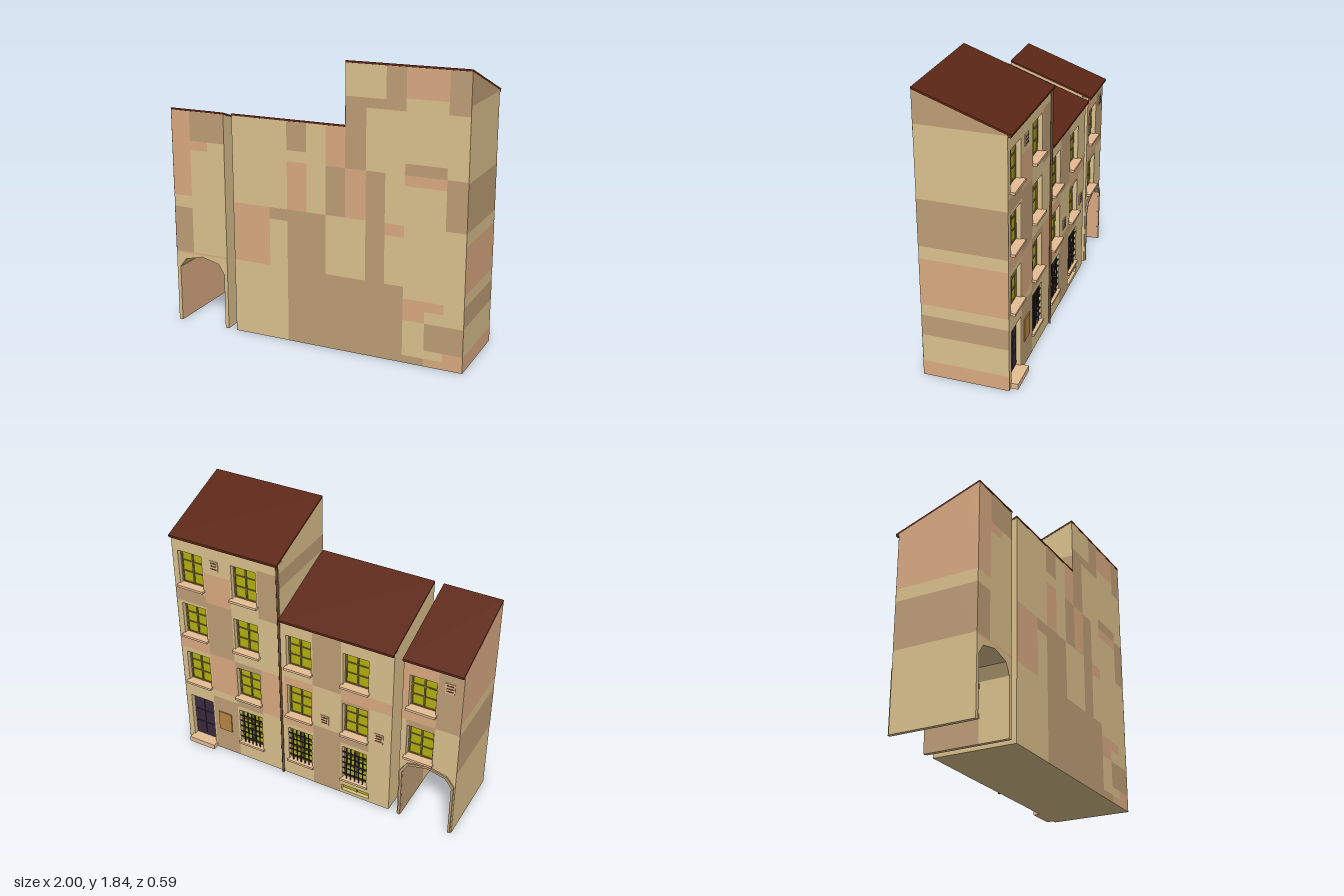
import * as THREE from 'three';

const mat = (color) => new THREE.MeshStandardMaterial({ color, side: THREE.DoubleSide });
const M = {
  sand: mat(0xdcc28e), brown: mat(0xbf9f78), pink: mat(0xdbab82), roof: mat(0x5c2615),
  glass: mat(0xb4b10c), frame: mat(0x84703c), sill: mat(0xe6bd94), iron: mat(0x2b2722),
  door: mat(0x3a2a40), board: mat(0xb98545), pipe: mat(0x6b4a30),
};
const ZF = 0.294, ZB = -0.25, ZI = -0.21, EAVE = -0.273; // front, facade, window plane, eave
const SLOPE = 0.354, SLAB = 0.013;
const roofY = (z, H) => H - (0.295 - z) * SLOPE;

function add(parent, name, geo, material) {
  const m = new THREE.Mesh(geo, material);
  m.name = name;
  parent.add(m);
  return m;
}
// Box given by its limits
function box(parent, name, material, x0, x1, y0, y1, z0, z1) {
  const g = new THREE.BoxGeometry(x1 - x0, y1 - y0, z1 - z0);
  g.translate((x0 + x1) / 2, (y0 + y1) / 2, (z0 + z1) / 2);
  return add(parent, name, g, material);
}
const poly = (pts) => new THREE.Shape(pts.map(([x, y]) => new THREE.Vector2(x, y)));
const rect = (x0, x1, y0, y1) => [[x0, y0], [x1, y0], [x1, y1], [x0, y1]];

// Side profile of [z, y] points swept along x
function sweepX(parent, name, material, pts, x0, x1) {
  const g = new THREE.ExtrudeGeometry(poly(pts.map(([z, y]) => [-z, y])), { depth: x1 - x0, bevelEnabled: false });
  g.rotateY(Math.PI / 2).translate(x0, 0, 0);
  return add(parent, name, g, material);
}
// Coloured plaster rectangle on the plain front
function frontPatch(parent, color, x0, x1, y0, y1) {
  const g = new THREE.ShapeGeometry(poly(rect(x0, x1, y0, y1)));
  add(parent, 'frontPlaster', g.translate(0, 0, 0.295), M[color]);
}
// Plaster rectangle on the windowed facade, cut out around the openings it contains
function backPatch(parent, color, x0, x1, y0, y1, holes) {
  const s = poly(rect(-x1, -x0, y0, y1));
  for (const [a, b, c, d] of holes)
    if (a > x0 && b < x1 && c > y0 && d < y1) s.holes.push(poly(rect(-b, -a, c, d)));
  add(parent, 'facadePlaster', new THREE.ShapeGeometry(s).rotateY(Math.PI).translate(0, 0, ZB - 0.001), M[color]);
}
// Plaster band on an end wall, cut off by the roof slope
function sideBand(parent, color, x, dir, y0, y1, H) {
  const pts = [], n = 24, z1 = 0.2945;
  for (let i = 0; i <= n; i++) {
    const z = z1 + (ZB - z1) * i / n;
    pts.push([-z * dir, Math.min(y1, roofY(z, H) - SLAB)]);
  }
  const shown = pts.filter((p) => p[1] > y0 + 0.001);
  const a = shown[0][0], b = shown[shown.length - 1][0];
  const g = new THREE.ShapeGeometry(poly([[a, y0], ...shown, [b, y0]].reverse()));
  add(parent, 'sidePlaster', g.rotateY(dir * Math.PI / 2).translate(x, 0, 0), M[color]);
}

// Sloped body, facade with openings and roof slab of one house
function house(parent, name, x0, x1, y0, H, holes) {
  const g = new THREE.Group();
  g.name = name;
  parent.add(g);
  const top = (z) => roofY(z, H) - SLAB;
  sweepX(g, 'walls', M.sand, [[ZF, y0], [ZF, top(ZF)], [ZI, top(ZI)], [ZI, y0]], x0, x1);
  const s = poly(rect(x0, x1, y0, top(ZB)));
  for (const h of holes) s.holes.push(poly(rect(...h)));
  const f = new THREE.ExtrudeGeometry(s, { depth: ZI - ZB, bevelEnabled: false });
  add(g, 'facade', f.translate(0, 0, ZB), M.sand);
  sweepX(g, 'roof', M.roof, [[0.295, H - SLAB], [0.295, H], [EAVE, roofY(EAVE, H)], [EAVE, top(EAVE)]], x0 - 0.001, x1 + 0.001);
  box(g, 'eaveTrim', M.pipe, x0, x1, top(EAVE) - 0.006, top(EAVE) + 0.006, -0.268, ZB);
  return g;
}

// Glazing with bars; barred windows get an iron grille
function windowUnit(parent, [x0, x1, y0, y1], barred) {
  const g = new THREE.Group();
  g.name = barred ? 'barredWindow' : 'window';
  parent.add(g);
  const t = 0.005, w = x1 - x0, h = y1 - y0;
  box(g, 'glass', M.glass, x0, x1, y0, y1, ZI - 0.004, ZI);
  for (const u of [0.04, 0.5, 0.96]) box(g, 'mullion', M.frame, x0 + w * u - t, x0 + w * u + t, y0, y1, ZI - 0.012, ZI);
  for (const v of [0.03, 0.35, 0.67, 0.97]) box(g, 'glazingBar', M.frame, x0, x1, y0 + h * v - t * 0.8, y0 + h * v + t * 0.8, ZI - 0.01, ZI);
  const c = (x0 + x1) / 2;
  box(g, 'sill', M.sill, c - 0.098, c + 0.098, y0 - 0.012, y0 + 0.004, barred ? -0.265 : -0.279, ZI);
  if (!barred) return;
  for (let i = 1; i <= 5; i++) {
    const x = x0 + w * i / 6, y = y0 + h * i / 6;
    box(g, 'grilleUpright', M.iron, x - 0.003, x + 0.003, y0, y1, -0.246, -0.24);
    box(g, 'grilleRail', M.iron, x0, x1, y - 0.003, y + 0.003, -0.247, -0.241);
  }
}
function vent(parent, x, y) {
  box(parent, 'vent', M.sill, x - 0.03, x + 0.03, y - 0.035, y + 0.035, -0.256, ZB);
  for (let i = -1; i <= 1; i++) box(parent, 'ventSlot', M.pipe, x - 0.022, x + 0.022, y + i * 0.02 - 0.004, y + i * 0.02 + 0.004, -0.258, ZB);
}

export function createModel() {
  const root = new THREE.Group();
  root.name = 'terraceOfHouses';
  const W = 0.088;
  const opening = (c, y0, y1) => [c - W, c + W, y0, y1];
  const floors = [[0.515, 0.755], [0.9, 1.14], [1.285, 1.53]];
  const ground = [0.125, 0.4];

  // Openings of each house
  const tallUp = [0.87, 0.48].flatMap((c) => floors.map((f) => opening(c, ...f)));
  const tallBarred = [opening(0.48, ...ground)];
  const doorway = opening(0.87, 0.036, 0.385);
  const lowUp = [0.1, -0.3].flatMap((c) => floors.slice(0, 2).map((f) => opening(c, ...f)));
  const lowBarred = [0.1, -0.3].map((c) => opening(c, ...ground));
  const cellar = [-0.41, -0.21, 0.025, 0.07];
  const annexUp = floors.slice(0, 2).map((f) => opening(-0.745, ...f));
  const tallHoles = [...tallUp, ...tallBarred, doorway];
  const lowHoles = [...lowUp, ...lowBarred, cellar];

  const tall = house(root, 'tallHouse', 0.225, 0.999, 0, 1.84, tallHoles);
  const low = house(root, 'lowHouse', -0.555, 0.225, 0, 1.455, lowHoles);
  const annex = house(root, 'gatehouse', -0.999, -0.615, 0.495, 1.455, annexUp);

  tallUp.forEach((o) => windowUnit(tall, o));
  tallBarred.forEach((o) => windowUnit(tall, o, true));
  lowUp.forEach((o) => windowUnit(low, o));
  lowBarred.forEach((o) => windowUnit(low, o, true));
  annexUp.forEach((o) => windowUnit(annex, o));

  // Cellar light
  box(low, 'cellarGlass', M.glass, ...cellar, ZI - 0.015, ZI);
  box(low, 'cellarMullion', M.frame, -0.315, -0.305, 0.025, 0.07, ZI - 0.02, ZI);

  // Panelled door and step
  box(tall, 'door', M.door, ...doorway, ZI - 0.006, ZI);
  for (const x of [0.795, 0.875]) for (const y of [0.06, 0.165, 0.27])
    box(tall, 'doorPanel', M.door, x, x + 0.07, y, y + 0.09, ZI - 0.013, ZI);
  box(tall, 'doorstep', M.sill, 0.77, 0.97, 0, 0.036, -0.295, ZI);
  box(tall, 'noticeBoard', M.board, 0.635, 0.735, 0.18, 0.33, -0.258, ZB);

  vent(tall, 0.69, 1.49);
  vent(low, -0.085, 0.57);
  vent(low, -0.47, 0.57);
  vent(annex, -0.915, 1.13);
  const pipe = add(tall, 'drainpipe', new THREE.CylinderGeometry(0.008, 0.008, 1.62, 8), M.pipe);
  pipe.position.set(0.232, 0.81, -0.258);

  // Arched passage under the gatehouse
  const arch = [[-0.975, 0], [-0.975, 0.38], [-0.93, 0.44], [-0.805, 0.47], [-0.68, 0.44], [-0.64, 0.37], [-0.64, 0]];
  const gate = poly([[-0.999, 0], ...arch, [-0.615, 0], [-0.615, 0.495], [-0.999, 0.495]]);
  const gateGeo = new THREE.ExtrudeGeometry(gate, { depth: ZF - ZB, bevelEnabled: false });
  add(annex, 'archedPassage', gateGeo.translate(0, 0, ZB), M.sand);
  const outer = arch.map(([x, y]) => [-0.807 + (x + 0.807) * 1.09, y * 1.035]);
  const trim = new THREE.ExtrudeGeometry(poly([...arch, ...outer.reverse()]), { depth: 0.01, bevelEnabled: false });
  add(annex, 'archTrim', trim.translate(0, 0, ZB - 0.01), M.brown);
  box(annex, 'passageWall', M.pink, -0.976, -0.974, 0, 0.378, ZB + 0.001, ZF);
  box(annex, 'passageWall', M.brown, -0.641, -0.639, 0, 0.368, ZB + 0.001, 0.1);
  frontPatch(annex, 'pink', -0.999, -0.615, 0.483, 0.495);

  // Front plaster: [colour, x0, x1, y0, y1]
  [['brown', -0.17, 0.61, 0, 0.495], ['brown', -0.295, -0.17, 0.805, 0.88], ['brown', -0.17, 0.095, 0.495, 0.88],
    ['brown', 0.36, 0.485, 0.495, 0.88], ['brown', -0.17, -0.035, 1.26, 1.44], ['brown', 0.095, 0.225, 0.88, 1.19],
    ['brown', 0.36, 0.485, 0.88, 1.19], ['brown', 0.225, 0.36, 1.19, 1.63], ['brown', 0.36, 0.485, 1.57, 1.63],
    ['brown', 0.485, 0.61, 1.57, 1.825], ['brown', 0.87, 0.999, 1.57, 1.825], ['brown', 0.61, 0.87, 1.19, 1.26],
    ['brown', 0.87, 0.999, 0.88, 1.19], ['brown', 0.75, 0.999, 0.105, 0.28], ['brown', 0.61, 0.75, 0, 0.05],
    ['pink', -0.555, -0.295, 0.495, 0.88], ['pink', -0.17, -0.035, 0.88, 1.19], ['pink', 0.095, 0.225, 1.19, 1.44],
    ['pink', 0.225, 0.36, 0.88, 1.19], ['pink', 0.485, 0.61, 0.805, 0.88], ['pink', 0.61, 0.87, 1.645, 1.825],
    ['pink', 0.61, 0.87, 1.125, 1.19], ['pink', 0.61, 0.87, 0.355, 0.42], ['pink', 0.61, 0.75, 0.28, 0.355],
    ['pink', 0.75, 0.999, 0, 0.05], ['pink', 0.87, 0.999, 0.05, 0.105],
    ['pink', -0.999, -0.865, 0.88, 1.44], ['pink', -0.865, -0.74, 1.19, 1.25], ['brown', -0.865, -0.615, 1.25, 1.44],
    ['brown', -0.999, -0.865, 0.495, 0.8]].forEach((p) => frontPatch(root, ...p));

  // Facade plaster
  const holes = [...tallHoles, ...lowHoles, ...annexUp];
  [['brown', 0.58, 0.77, 0, 0.45], ['pink', 0.58, 0.77, 0.5, 0.8], ['brown', 0.58, 0.77, 0.8, 1.2], ['pink', 0.58, 0.77, 1.2, 1.42],
    ['brown', 0.38, 0.58, 0.43, 0.8], ['pink', 0.225, 0.38, 0.45, 0.8], ['brown', 0.225, 0.38, 1.2, 1.55], ['pink', 0.77, 0.999, 0.79, 0.87],
    ['brown', 0.77, 0.999, 1.16, 1.25], ['brown', -0.2, 0, 0, 0.5], ['pink', 0, 0.21, 0.43, 0.82], ['brown', -0.2, 0, 0.82, 1.22],
    ['pink', -0.555, -0.2, 0.78, 0.87], ['brown', -0.4, -0.2, 0.43, 0.78], ['pink', -0.84, -0.615, 0.8, 1.22],
    ['brown', -0.999, -0.84, 0.8, 1.22], ['brown', -0.84, -0.65, 0.5, 0.8]].forEach((p) => backPatch(root, ...p, holes));

  // End wall plaster bands
  [['pink', 0, 0.1], ['brown', 0.285, 0.42], ['pink', 0.495, 0.8], ['brown', 0.88, 1.18], ['brown', 1.63, 1.84]]
    .forEach(([c, a, b]) => sideBand(root, c, 1, 1, a, b, 1.84));
  [['brown', 0.495, 0.8], ['pink', 0.88, 1.455]].forEach(([c, a, b]) => sideBand(root, c, -1, -1, a, b, 1.455));
  sideBand(root, 'brown', 0.224, -1, 1.46, 1.57, 1.84);
  return root;
}
